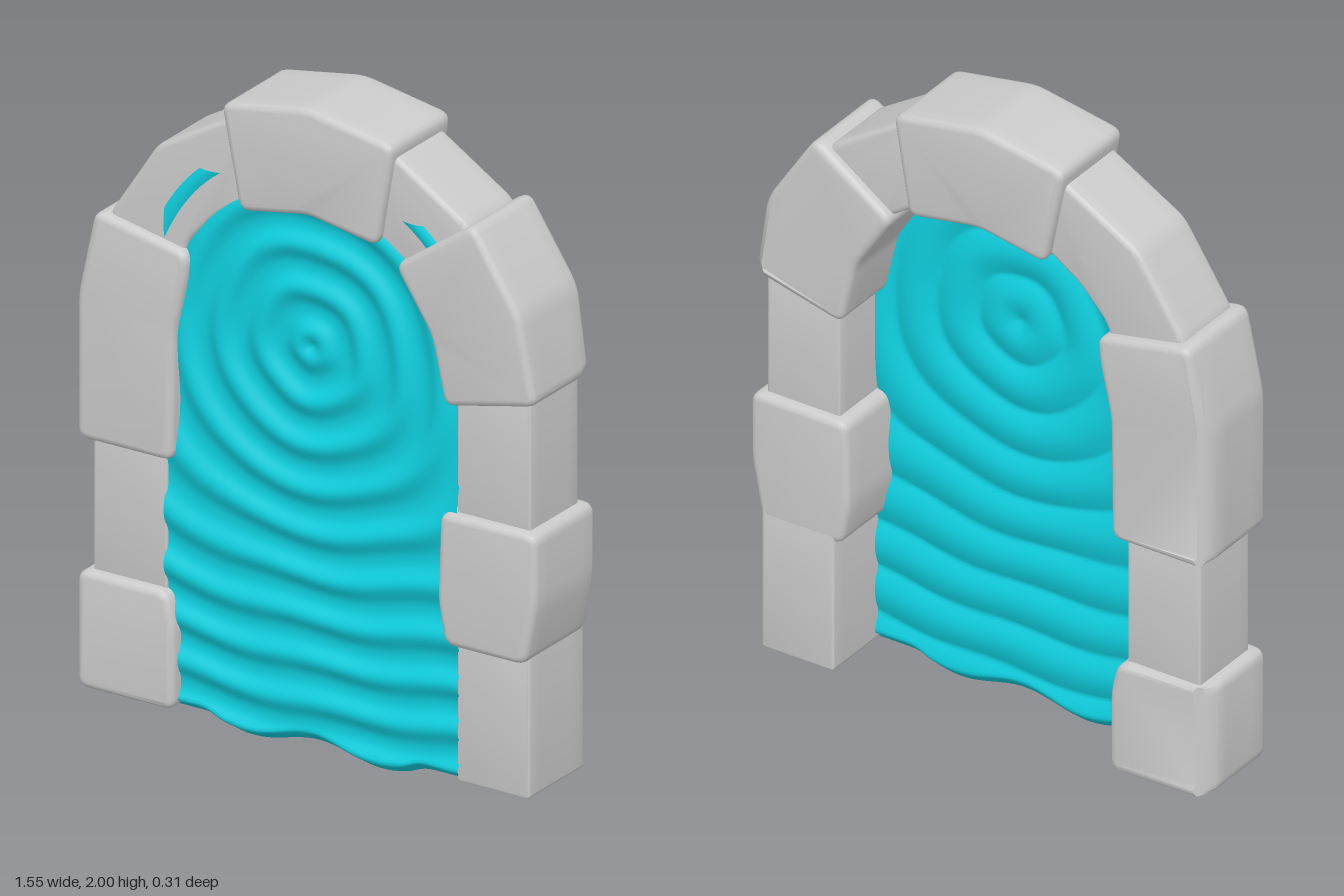
import * as THREE from 'three';
import { toCreasedNormals } from 'three/addons/utils/BufferGeometryUtils.js';

const stoneMat = new THREE.MeshStandardMaterial({ color: 0xcccccc });
const waterMat = new THREE.MeshStandardMaterial({ color: 0x0fd0e0, side: THREE.DoubleSide });

// Polygon outline with softened corners
function roundedShape(points, radius) {
  const pts = points.map(([x, y]) => new THREE.Vector2(x, y));
  if (THREE.ShapeUtils.area(pts) < 0) pts.reverse();
  const shape = new THREE.Shape();
  pts.forEach((p, i) => {
    const toward = (q) => {
      const d = q.clone().sub(p);
      return p.clone().addScaledVector(d, Math.min(0.45, radius / d.length()));
    };
    const a = toward(pts.at(i - 1));
    const b = toward(pts[(i + 1) % pts.length]);
    if (i === 0) shape.moveTo(a.x, a.y); else shape.lineTo(a.x, a.y);
    shape.quadraticCurveTo(p.x, p.y, b.x, b.y);
  });
  shape.closePath();
  return shape;
}

// Hewn stone: bevelled outline, with optional corners flattened onto planes [nx, ny, nz, distance]
function stone(name, points, { front = 0.155, back = -0.155, radius = 0.035, bevel = 0.02, chips = [] } = {}) {
  let geo = new THREE.ExtrudeGeometry(roundedShape(points, radius), {
    depth: front - back - 2 * bevel, steps: 6, curveSegments: 4,
    bevelThickness: bevel, bevelSize: bevel, bevelOffset: -bevel, bevelSegments: 3,
  });
  geo.translate(0, 0, back + bevel);
  const pos = geo.attributes.position;
  const v = new THREE.Vector3();
  for (const [nx, ny, nz, d] of chips) {
    const n = new THREE.Vector3(nx, ny, nz);
    const len = n.length();
    n.divideScalar(len);
    for (let i = 0; i < pos.count; i++) {
      v.fromBufferAttribute(pos, i);
      const over = v.dot(n) - d / len;
      if (over > 0) {
        v.addScaledVector(n, -over);
        pos.setXYZ(i, v.x, v.y, v.z);
      }
    }
  }
  geo = toCreasedNormals(geo, 0.6);
  const mesh = new THREE.Mesh(geo, stoneMat);
  mesh.name = name;
  return mesh;
}

const rect = (x0, x1, y0, y1) => [[x0, y0], [x1, y0], [x1, y1], [x0, y1]];

// Rippled slab of water: one sheet runs down the front, round the hem and up the back
function waterSlab() {
  const { smoothstep, lerp } = THREE.MathUtils;
  const top = 1.72, centreY = 1.26;
  const geo = new THREE.PlaneGeometry(2, 2, 90, 400);
  const pos = geo.attributes.position;
  for (let i = 0; i < pos.count; i++) {
    const isFront = pos.getY(i) >= 0;
    const t = Math.abs(pos.getY(i));
    const halfWidth = (isFront ? 0.497 : 0.515) - 0.09 * smoothstep(t * top, 1.58, top);
    const x = pos.getX(i) * halfWidth;
    const dip = 0.5 - 0.5 * Math.cos(x * 14.5);
    const hem = 0.037 - 0.037 * dip * (1 - smoothstep(Math.abs(x), 0.3, 0.4));
    const y = hem + t * (top - hem);

    // Rings spread from a point near the top and flatten into wide waves lower down
    const flat = lerp(0.2, 1, smoothstep(y, 0.3, 1.25));
    const angle = Math.atan2(x, y - centreY);
    let r = Math.hypot(x * Math.sqrt(flat), y - centreY);
    r += 0.006 * Math.sin(angle * 5 + 1) * Math.min(1, r * 4);
    r += 0.007 * Math.sin(x * 13 + y * 6) * smoothstep(1.1 - y, 0, 0.6);

    // Soft waves in front, rounded swells with creases between them behind
    const crest = 0.5 + 0.5 * Math.cos((r - 0.57) * Math.PI * 2 / 0.132);
    const face = isFront
      ? 0.122 + 0.01 * (2 * Math.pow(crest, 1.3) - 1)
      : 0.07 - 0.018 * Math.abs(Math.sin(r * Math.PI / 0.145));
    const z = lerp(0.085, face, smoothstep(t, 0, 0.02));
    pos.setXYZ(i, x, y, z);
  }
  geo.computeVertexNormals();
  const mesh = new THREE.Mesh(geo, waterMat);
  mesh.name = 'waterSlab';
  return mesh;
}

export function createModel() {
  const model = new THREE.Group();
  model.name = 'stoneWaterArch';

  // Narrow stones set back between the large blocks
  const thin = { front: 0.121, back: -0.123, radius: 0.012, bevel: 0.006 };
  const arch = { front: 0.126, back: -0.123, radius: 0.03, bevel: 0.016 };
  model.add(
    stone('leftPillarStone', rect(0.49, 0.738, 0.78, 1.28), thin),
    stone('leftFootStone', rect(0.49, 0.735, 0.04, 0.52), { ...thin, back: -0.155 }),
    stone('rightPillarStone', rect(-0.74, -0.492, 0.36, 0.86), thin),
    stone('leftArchStone',
      [[0.2, 1.945], [0.28, 1.91], [0.525, 1.755], [0.58, 1.62], [0.44, 1.44], [0.33, 1.58], [0.18, 1.68]], arch),
    stone('rightArchStone',
      [[-0.2, 1.93], [-0.28, 1.895], [-0.525, 1.755], [-0.685, 1.51], [-0.68, 1.42], [-0.44, 1.4],
        [-0.42, 1.48], [-0.33, 1.58], [-0.18, 1.68]], arch),
  );

  // Large projecting blocks
  model.add(
    stone('keystone',
      [[-0.292, 1.95], [0, 2.001], [0.292, 1.95], [0.238, 1.63], [0, 1.672], [-0.228, 1.63]]),
    stone('leftShoulderBlock',
      [[0.56, 1.775], [0.72, 1.53], [0.776, 1.265], [0.465, 1.195], [0.42, 1.4], [0.295, 1.59]],
      { chips: [[1, -0.3, -1, 0.5]] }),
    stone('leftMiddleBlock',
      [[0.45, 0.868], [0.776, 0.868], [0.776, 0.65], [0.74, 0.462], [0.465, 0.462], [0.44, 0.6]]),
    stone('rightShoulderBlock',
      [[-0.718, 1.518], [-0.405, 1.455], [-0.41, 1.38], [-0.45, 1.2], [-0.455, 0.805], [-0.776, 0.805], [-0.776, 1.25]],
      { chips: [[-1, 0, -1, 0.885]] }),
    stone('rightFootBlock',
      [[-0.776, 0.04], [-0.45, 0.04], [-0.45, 0.3], [-0.475, 0.4], [-0.776, 0.4]],
      { chips: [[-1, 0, -1, 0.875]] }),
  );

  model.add(waterSlab());
  return model;
}
